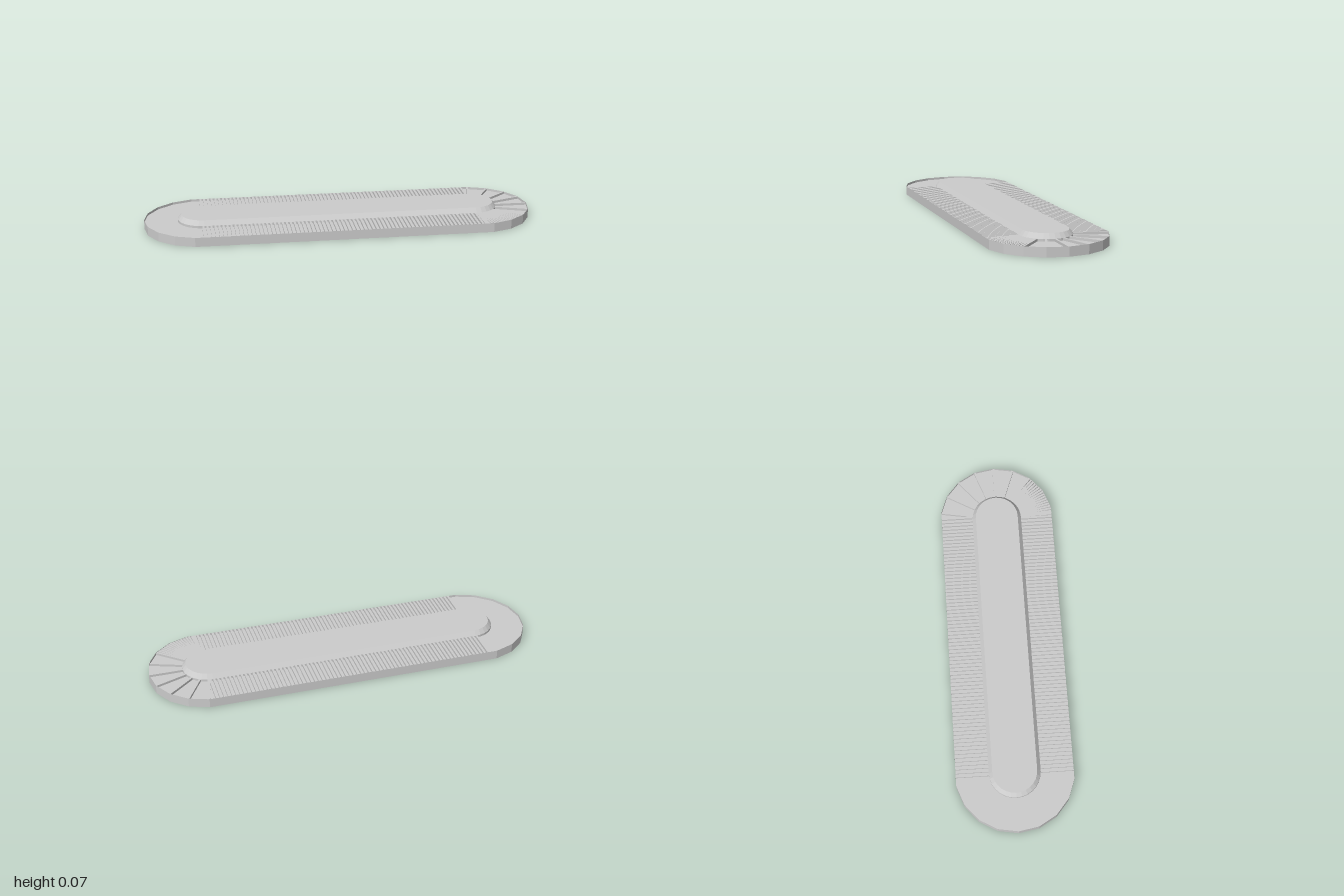
import * as THREE from 'three';

const END = 0.7;        // x of the centre of each rounded end
const FLOOR = 0.035, RIM = 0.047, TOP = 0.071;
const OUTER = 0.3, INNER = 0.13;

// Stadium outline in the x/z plane; each end sweeps from -span to +span degrees
function outline(radius, span, steps) {
  const points = [];
  for (const side of [0, Math.PI]) {
    for (let i = 0; i <= steps; i++) {
      const a = side + THREE.MathUtils.degToRad(-span + (2 * span * i) / steps);
      points.push(new THREE.Vector2(END * Math.cos(side) + radius * Math.cos(a), radius * Math.sin(a)));
    }
  }
  return points;
}

// Wall joining a lower outline to an upper one
function wall(low, y0, high, y1) {
  const pos = [];
  low.forEach((a, i) => {
    const j = (i + 1) % low.length, b = low[j], c = high[j], d = high[i];
    pos.push(a.x, y0, -a.y, b.x, y0, -b.y, c.x, y1, -c.y);
    pos.push(a.x, y0, -a.y, c.x, y1, -c.y, d.x, y1, -d.y);
  });
  const g = new THREE.BufferGeometry();
  g.setAttribute('position', new THREE.Float32BufferAttribute(pos, 3));
  g.computeVertexNormals();
  return g;
}

// Solid slab from an outline
function slab(points, y0, y1) {
  const g = new THREE.ExtrudeGeometry(new THREE.Shape(points), { depth: y1 - y0, bevelEnabled: false });
  return g.rotateX(-Math.PI / 2).translate(0, y0, 0);
}

export function createModel() {
  const model = new THREE.Group();
  const grey = new THREE.MeshStandardMaterial({ color: 0xcccccc, flatShading: true });
  const thin = new THREE.MeshStandardMaterial({ color: 0xcccccc, flatShading: true, side: THREE.DoubleSide });
  const add = (parent, name, geometry, material = grey) => {
    const mesh = new THREE.Mesh(geometry, material);
    mesh.name = name;
    parent.add(mesh);
    return mesh;
  };

  // Shallow tray with a thin rim
  const edge = outline(OUTER, 80, 8);
  add(model, 'base', slab(edge, 0, FLOOR));
  add(model, 'rim', wall(edge, FLOOR, edge, RIM), thin);

  // Raised island with a sloping edge
  const foot = outline(INNER, 90, 14), crown = outline(0.112, 90, 14);
  add(model, 'islandFoot', slab(foot, FLOOR, RIM));
  add(model, 'islandSlope', wall(foot, RIM, crown, TOP));
  const top = new THREE.ShapeGeometry(new THREE.Shape(crown));
  add(model, 'islandTop', top.rotateX(-Math.PI / 2).translate(0, TOP, 0));

  // Cross slats along both straights
  const slats = new THREE.Group();
  slats.name = 'slats';
  model.add(slats);
  const height = RIM - FLOOR, width = 0.011;
  const halfWidth = OUTER * Math.cos(Math.PI / 18);
  const straight = new THREE.BoxGeometry(width, height, halfWidth - INNER);
  const count = 72;
  for (const side of [-1, 1]) {
    for (let i = 0; i < count; i++) {
      const slat = add(slats, 'straightSlat', straight);
      slat.position.set(-0.705 + (1.42 * i) / (count - 1), (FLOOR + RIM) / 2, side * (halfWidth + INNER) / 2);
    }
  }

  // Radial slats round the +x end: wide spacing at the back, close at the front
  const angles = [];
  for (let a = -80; a <= 40; a += 20) angles.push(a);
  for (let a = 43; a <= 88; a += 3) angles.push(a);
  for (const a of angles) {
    // Distance to the faceted rim at this angle
    const offset = THREE.MathUtils.euclideanModulo(a, 20) - 10;
    const reach = halfWidth / Math.cos(THREE.MathUtils.degToRad(offset)) - 0.002;
    const g = new THREE.BoxGeometry(reach - 0.12, height, width);
    g.translate((reach + 0.12) / 2, 0, 0);
    const slat = add(slats, 'radialSlat', g);
    slat.position.set(END, (FLOOR + RIM) / 2, 0);
    slat.rotation.y = -THREE.MathUtils.degToRad(a);
  }
  return model;
}
